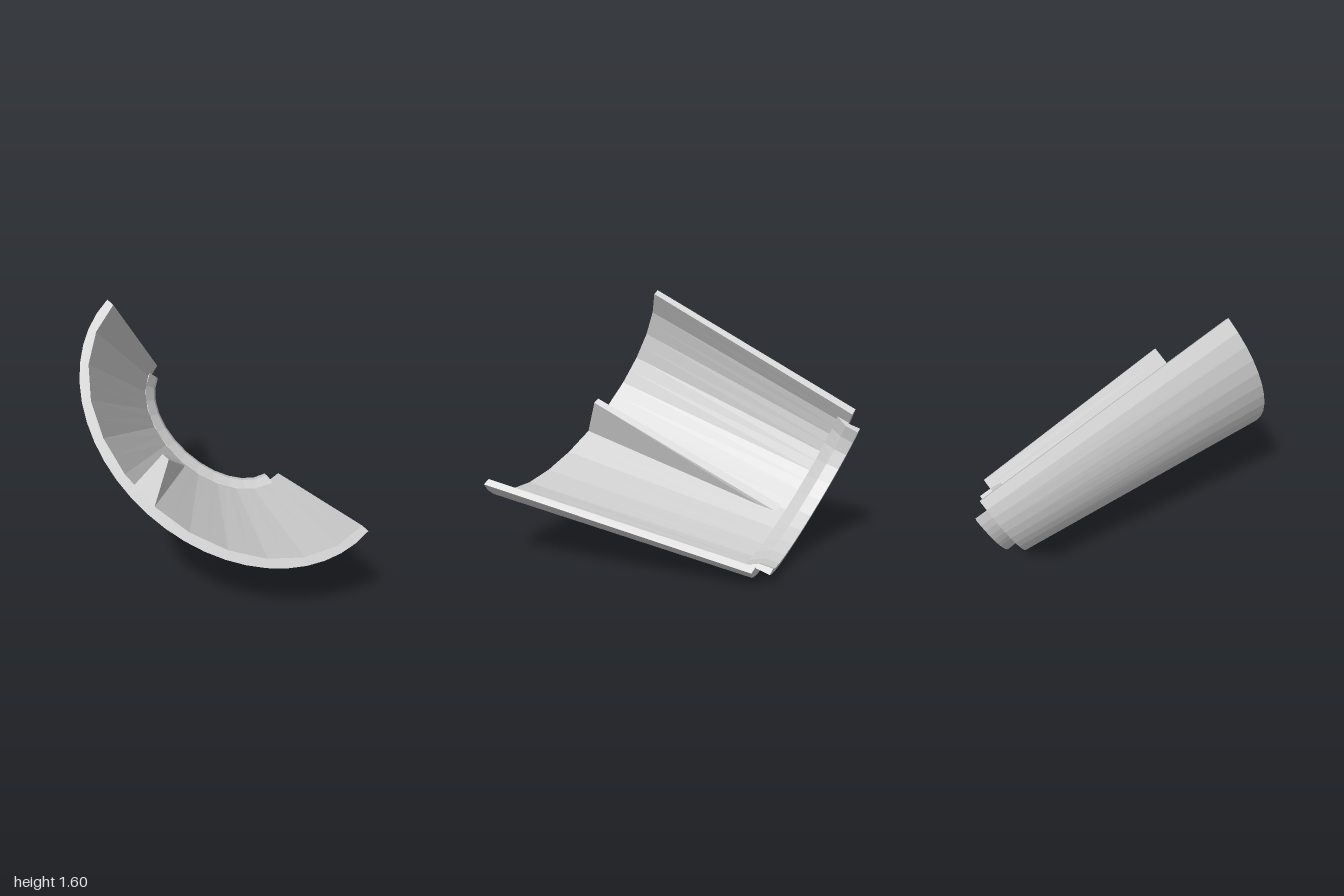
import * as THREE from 'three';

// Tilted frame: N runs along the shell, T across its opening, S into its depth
const N = new THREE.Vector3(0, 0.403, 0.915);
const V = new THREE.Vector3(0, 0.915, -0.403);
const X = new THREE.Vector3(1, 0, 0);
const T = X.clone().multiplyScalar(0.744).addScaledVector(V, -0.668);
const S = X.clone().multiplyScalar(-0.668).addScaledVector(V, -0.744);
const FRONT = 1.048, BACK = -0.531;

// Point at station n, t across and s deep; the centre line drifts slightly
function place(n, t, s) {
  const k = (FRONT - n) / (FRONT - BACK);
  return new THREE.Vector3()
    .addScaledVector(N, n)
    .addScaledVector(X, 0.07 - 0.09 * k)
    .addScaledVector(V, 0.685 + 0.085 * k)
    .addScaledVector(T, t)
    .addScaledVector(S, s);
}

// Solid through closed loops, ordered front to back; each loop folds into pairs for its caps
function loft(name, loops, material) {
  const pos = [];
  const quad = (a, b, c, d) => [a, b, c, a, c, d].forEach((p) => pos.push(p.x, p.y, p.z));
  const count = loops[0].length;
  for (let j = 0; j < loops.length - 1; j++) {
    const f = loops[j], b = loops[j + 1];
    for (let i = 0; i < count; i++) {
      const m = (i + 1) % count;
      quad(f[i], f[m], b[m], b[i]);
    }
  }
  const f = loops[0], b = loops[loops.length - 1];
  for (let i = 0; i < count / 2 - 1; i++) {
    const m = count - 1 - i;
    quad(f[i], f[m], f[m - 1], f[i + 1]);
    quad(b[i], b[i + 1], b[m - 1], b[m]);
  }
  const geometry = new THREE.BufferGeometry();
  geometry.setAttribute('position', new THREE.Float32BufferAttribute(pos, 3));
  geometry.computeVertexNormals();
  const mesh = new THREE.Mesh(geometry, material);
  mesh.name = name;
  return mesh;
}

// Half-elliptical band: fine outside, broader facets inside
function band([n, ao, bo, ai, bi], trim = 0, segments = 24) {
  const at = (a, b, i) => {
    const angle = trim + (Math.PI - 2 * trim) * i / segments;
    return place(n, a * Math.cos(angle), b * Math.sin(angle));
  };
  const outer = [], inner = [];
  for (let i = 0; i <= segments; i++) {
    outer.push(at(ao, bo, i));
    inner.unshift(i % 2 ? at(ai, bi, i - 1).lerp(at(ai, bi, i + 1), 0.5) : at(ai, bi, i));
  }
  return [...outer, ...inner];
}

export function createModel() {
  const group = new THREE.Group();
  const material = new THREE.MeshStandardMaterial({ color: 0xcccccc, flatShading: true });

  // Tapered half shell
  const shell = [
    [FRONT, 0.9, 0.685, 0.858, 0.633],
    [BACK, 0.638, 0.437, 0.592, 0.39],
  ];
  group.add(loft('shell', shell.map((r) => band(r)), material));

  // Recessed lip with an inner ramp, cut short of the shell edges
  const lip = [
    [-0.45, 0.615, 0.415, 0.602, 0.4],
    [-0.528, 0.61, 0.41, 0.55, 0.338],
    [-0.531, 0.58, 0.37, 0.55, 0.338],
    [-0.61, 0.58, 0.37, 0.54, 0.328],
  ];
  group.add(loft('backLip', lip.map((r) => band(r, 0.2)), material));

  // Wedge rib, running into the shell wall toward the back
  const rib = [
    [FRONT, [0.01, 0.65], [-0.15, 0.65], [-0.147, 0.406], [-0.105, 0.406]],
    [-0.46, [0.06, 0.425], [-0.013, 0.425], [-0.013, 0.408], [0.045, 0.408]],
  ];
  group.add(loft('rib', rib.map(([n, ...pts]) => pts.map(([t, s]) => place(n, t, s))), material));

  return group;
}
